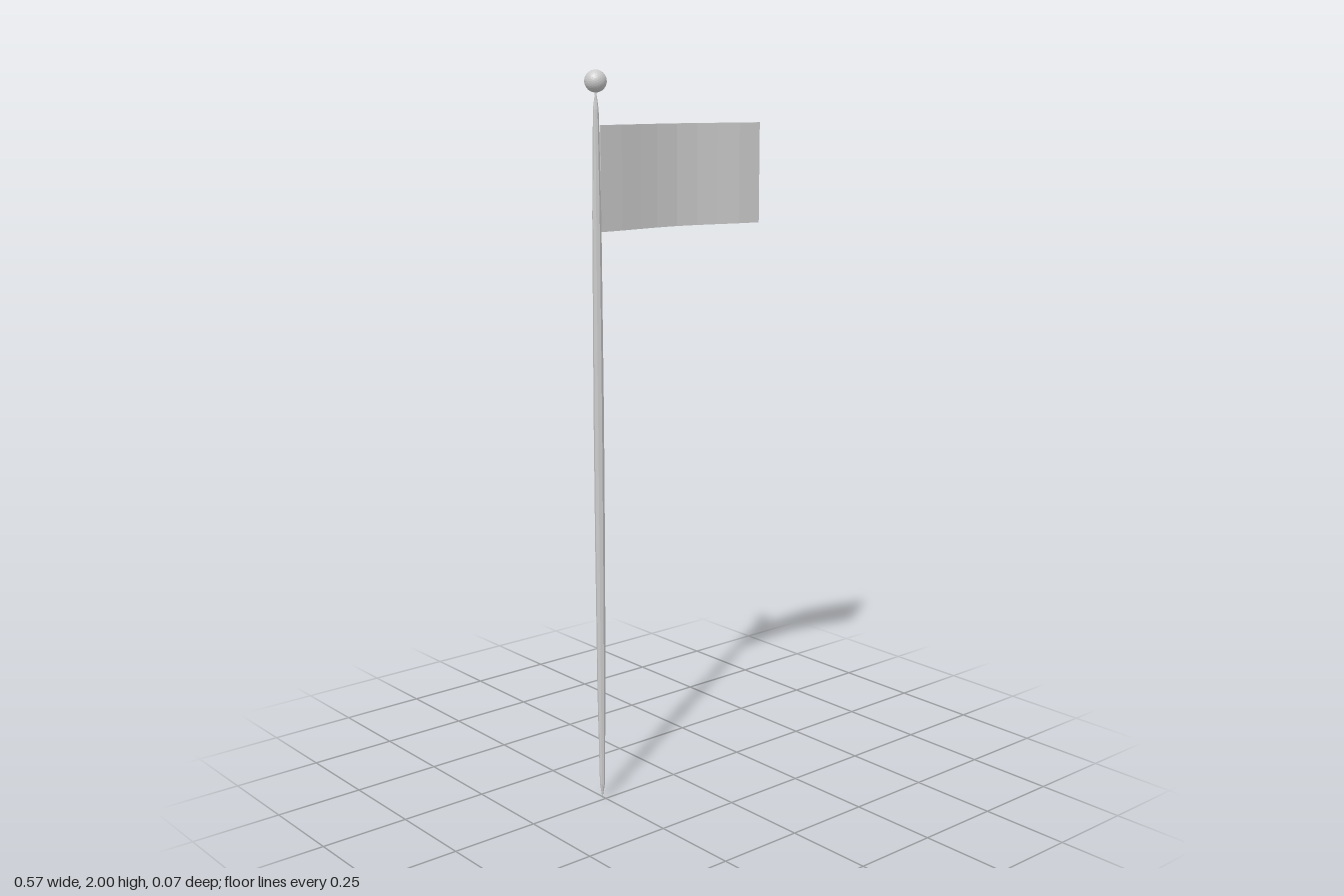
import * as THREE from 'three';

const POLE_X = -0.258, POLE_Z = -0.005;

export function createModel() {
  const group = new THREE.Group();
  const grey = new THREE.MeshStandardMaterial({ color: 0xcccccc, flatShading: true });

  // Slim pole, thickest in the middle and pointed at both ends
  const profile = [
    [0, 0], [0.007, 0.045], [0.0115, 0.33], [0.0135, 0.75], [0.014, 1.1],
    [0.012, 1.63], [0.0075, 1.9], [0.001, 1.95],
  ].map(([r, y]) => new THREE.Vector2(r, y));
  const pole = new THREE.Mesh(new THREE.LatheGeometry(profile, 8), grey);
  pole.name = 'pole';
  pole.position.set(POLE_X, 0, POLE_Z);
  group.add(pole);

  // Faceted ball on the tip
  const finial = new THREE.Mesh(new THREE.IcosahedronGeometry(0.029, 4), grey);
  finial.name = 'finialBall';
  finial.position.set(POLE_X, 1.971, POLE_Z);
  group.add(finial);

  // Waving flag: plan outline of the cloth, extruded upwards
  const wave = [
    [-0.242, -0.009], [-0.17, -0.012], [-0.1, -0.019], [-0.04, -0.0235], [0.03, -0.0235],
    [0.095, -0.013], [0.155, 0.002], [0.22, 0.02], [0.285, 0.031],
  ];
  const half = 0.0025;
  const near = wave.map(([x, z]) => new THREE.Vector2(x, -z - half));
  const far = wave.map(([x, z]) => new THREE.Vector2(x, -z + half)).reverse();
  const cloth = new THREE.ExtrudeGeometry(new THREE.Shape([...near, ...far]), {
    depth: 0.275, bevelEnabled: false,
  });
  cloth.rotateX(-Math.PI / 2);
  const flag = new THREE.Mesh(cloth, grey);
  flag.name = 'flag';
  flag.position.y = 1.585;
  group.add(flag);

  return group;
}
